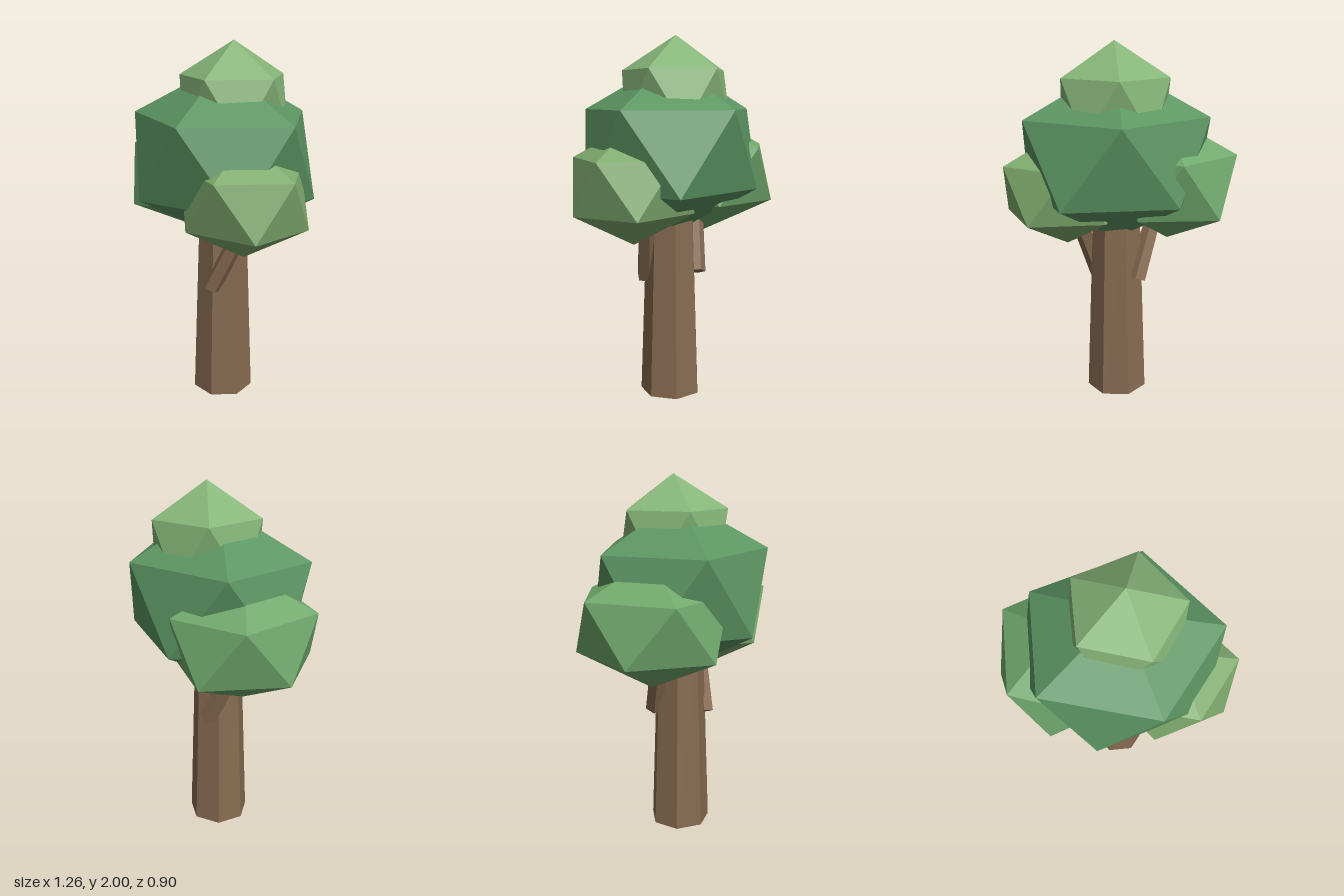
import * as THREE from 'three';

const mat = (color) => new THREE.MeshStandardMaterial({ color, flatShading: true });

// Twenty-sided blob standing on a point: two staggered rings of five between two tips
function blobGeometry() {
  const h = 1 / Math.sqrt(5), r = 2 * h;
  const ring = (i, upper) => {
    const a = (i + (upper ? 0 : 0.5)) * Math.PI * 2 / 5;
    return [r * Math.cos(a), upper ? h : -h, r * Math.sin(a)];
  };
  const top = [0, 1, 0], bottom = [0, -1, 0], pos = [];
  for (let i = 0; i < 5; i++) {
    const u0 = ring(i, true), u1 = ring(i + 1, true);
    const l0 = ring(i, false), l1 = ring(i + 1, false);
    for (const p of [top, u1, u0, u0, u1, l0, l0, u1, l1, l0, l1, bottom]) pos.push(...p);
  }
  const g = new THREE.BufferGeometry();
  g.setAttribute('position', new THREE.Float32BufferAttribute(pos, 3));
  return g;
}

export function createModel() {
  const tree = new THREE.Group();
  tree.name = 'tree';
  const add = (name, geometry, material) => {
    geometry.computeVertexNormals();
    const mesh = new THREE.Mesh(geometry, material);
    mesh.name = name;
    tree.add(mesh);
    return mesh;
  };

  // Foliage: name, centre, radii, colour
  const foliage = [
    ['mainFoliage', [0.02, 1.395, 0], [0.582, 0.48, 0.529], 0x5c9562],
    ['topFoliage', [0.05, 1.67, -0.048], [0.331, 0.33, 0.331], 0x86b578],
    ['rightFoliage', [-0.27, 1.245, -0.0625], [0.403, 0.347, 0.452], 0x70a86c],
    ['leftFoliage', [0.28, 1.216, 0.085], [0.391, 0.323, 0.361], 0x7fab6e],
  ];
  for (const [name, centre, radii, color] of foliage) {
    const g = blobGeometry().scale(...radii).translate(...centre);
    add(name, g, mat(color));
  }

  // Seven-sided tapering trunk, flat side to the front
  const bark = mat(0x876b51);
  const trunk = new THREE.CylinderGeometry(0.134, 0.172, 1.05, 7);
  trunk.rotateY(Math.PI).translate(0.0175, 0.525, 0);
  add('trunk', trunk, bark);

  // Branches leaning out from the trunk into the side foliage
  const branches = [
    ['leftBranch', [0.072, 0.665, 0.132], [0.235, 1.05, 0.035]],
    ['rightBranch', [-0.05, 0.7, -0.13], [-0.2, 1.05, -0.045]],
  ];
  for (const [name, from, to] of branches) {
    const a = new THREE.Vector3(...from), b = new THREE.Vector3(...to);
    const g = new THREE.CylinderGeometry(0.046, 0.052, a.distanceTo(b), 5);
    const mesh = add(name, g, bark);
    mesh.position.copy(a).add(b).multiplyScalar(0.5);
    mesh.quaternion.setFromUnitVectors(new THREE.Vector3(0, 1, 0), b.sub(a).normalize());
  }
  return tree;
}
